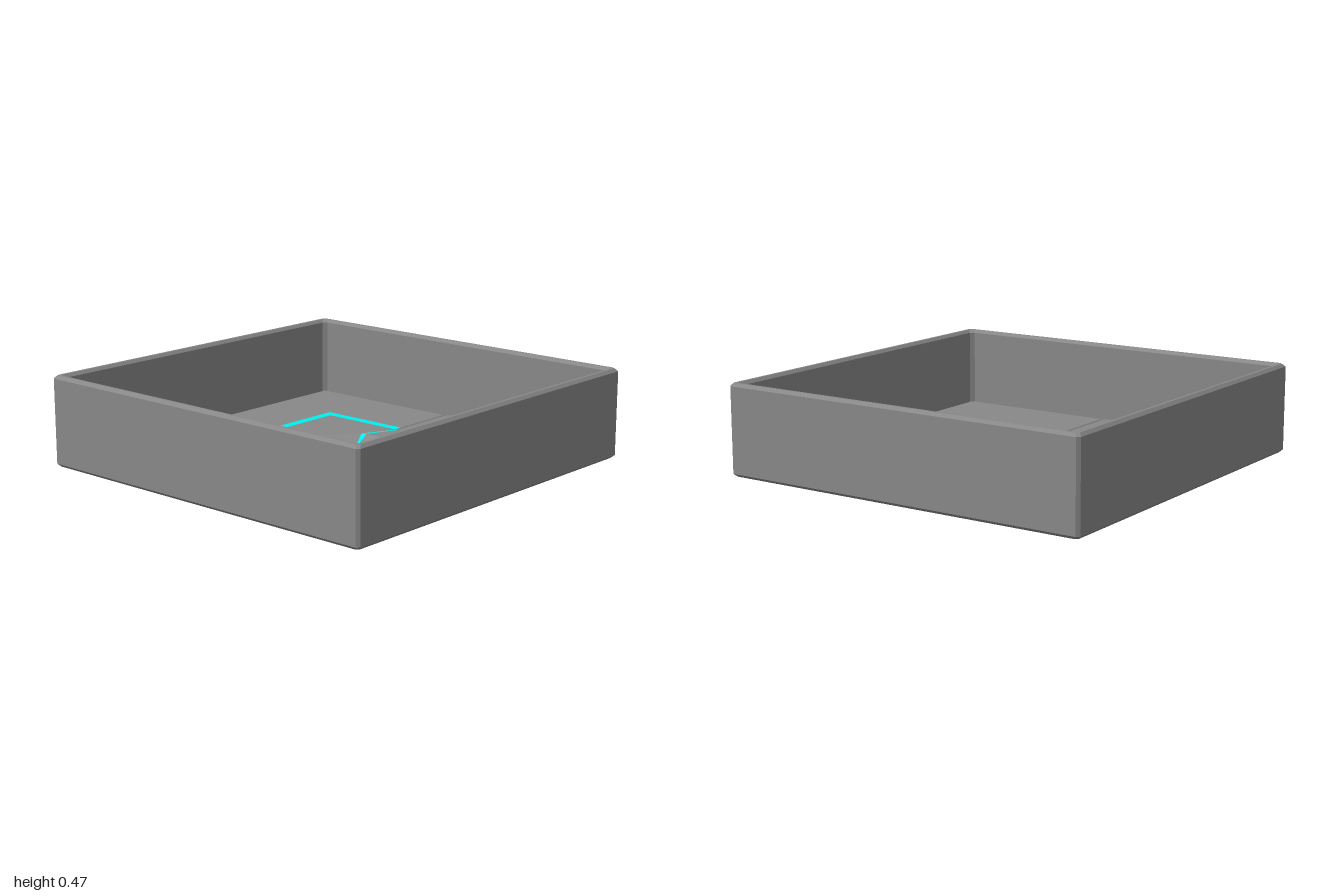
import * as THREE from 'three';

const grey = new THREE.MeshStandardMaterial({ color: 0x888888, flatShading: true, side: THREE.DoubleSide });
const cyan = new THREE.MeshStandardMaterial({ color: 0x00eeee, flatShading: true, side: THREE.DoubleSide });

function add(parent, name, geometry, material) {
  const mesh = new THREE.Mesh(geometry, material);
  mesh.name = name;
  parent.add(mesh);
  return mesh;
}

function triangles(points) {
  const geometry = new THREE.BufferGeometry();
  geometry.setAttribute('position', new THREE.Float32BufferAttribute(points.flat(), 3));
  geometry.computeVertexNormals();
  return geometry;
}

// Eight-sided rings [p, q, y] joined from the underside, outwards, up and back in
function loft(rings) {
  const loops = rings.map(([p, q, y]) =>
    [[p, q], [q, p], [-q, p], [-p, q], [-p, -q], [-q, -p], [q, -p], [p, -q]].map(([x, z]) => [x, y, z]));
  const out = [];
  for (let i = 0; i < loops.length - 1; i++) {
    for (let j = 0; j < 8; j++) {
      const k = (j + 1) % 8;
      const [a, b, c, d] = [loops[i][j], loops[i][k], loops[i + 1][j], loops[i + 1][k]];
      out.push(a, c, b, b, c, d);
    }
  }
  return triangles(out);
}

// Strip between two rails running inwards (left rail first), with a short skirt down each side
function strip(left, right) {
  const lower = (rail) => rail.map(([x, y, z]) => [x, y - 0.012, z]);
  const rails = [lower(left), left, right, lower(right)];
  const out = [];
  for (let r = 0; r < rails.length - 1; r++) {
    for (let i = 0; i < left.length - 1; i++) {
      const [a, b, c, d] = [rails[r][i], rails[r + 1][i], rails[r][i + 1], rails[r + 1][i + 1]];
      out.push(a, b, c, b, d, c);
    }
  }
  return triangles(out);
}

function block(parent, name, material, x0, x1, y0, y1, z0, z1) {
  const mesh = add(parent, name, new THREE.BoxGeometry(x1 - x0, y1 - y0, z1 - z0), material);
  mesh.position.set((x0 + x1) / 2, (y0 + y1) / 2, (z0 + z1) / 2);
}

const outline = (points) => new THREE.Shape(points.map(([x, z]) => new THREE.Vector2(x, z)));

// Bevelled slab from an outline in x and z
function slab(points, y0, y1, bevel) {
  const geometry = new THREE.ExtrudeGeometry(outline(points), {
    depth: y1 - y0 - 2 * bevel, bevelSize: bevel,
    bevelThickness: bevel, bevelOffset: -bevel, bevelSegments: 1,
  });
  return geometry.rotateX(Math.PI / 2).translate(0, y1 - bevel, 0);
}

export function createModel() {
  const model = new THREE.Group();
  model.name = 'floorTray';

  // Bevelled outer wall
  add(model, 'wall', loft([
    [0.95, 0.94, 0], [0.985, 0.97, 0], [1, 0.985, 0.015], [1, 0.985, 0.45], [0.985, 0.97, 0.465],
    [0.97, 0.955, 0.465], [0.955, 0.935, 0.45], [0.955, 0.935, 0.05],
  ]), grey);

  // Thin base at the bottom of the grooves
  block(model, 'base', grey, -0.95, 0.95, 0.004, 0.009, -0.95, 0.95);

  // Centre plate with a sunken octagon
  add(model, 'centrePlate', loft([
    [0, 0, 0.001], [0.53, 0.06, 0.001], [0.53, 0.06, 0.042],
    [0.522, 0.056, 0.05], [0.338, 0.14, 0.05], [0.28, 0.113, 0.01], [0, 0, 0.01],
  ]), grey);
  add(model, 'octagonLight', loft([
    [0.278, 0.113, 0.015], [0.268, 0.11, 0.015], [0.266, 0.109, 0.01],
  ]), cyan);

  for (let i = 0; i < 4; i++) {
    const quarter = new THREE.Group();
    quarter.name = 'floorQuarter';
    quarter.rotation.y = i * Math.PI / 2;
    model.add(quarter);

    // Corner panel
    add(quarter, 'cornerPanel', slab(
      [[0.072, 0.955], [0.955, 0.955], [0.955, 0.072], [0.538, 0.072], [0.072, 0.538]], 0.001, 0.05, 0.007), grey);

    // L-shaped light showing on the top and underside of the panel
    for (const y of [0, 0.0515]) {
      const light = new THREE.ShapeGeometry(outline(
        [[0.072, 0.58], [0.58, 0.58], [0.58, 0.072], [0.53, 0.072], [0.53, 0.53], [0.072, 0.53]]));
      add(quarter, 'cornerLight', light.rotateX(Math.PI / 2).translate(0, y, 0), cyan);
    }

    // Walkway to the wall
    block(quarter, 'walkway', grey, -0.055, 0.055, 0.001, 0.052, 0.53, 0.955);

    // Tapered ramp into the octagon
    add(quarter, 'ramp', strip(
      [[-0.053, 0.0515, 0.53], [-0.11, 0.058, 0.34], [-0.1, 0.016, 0.28]],
      [[0.053, 0.0515, 0.53], [0.11, 0.058, 0.34], [0.1, 0.016, 0.28]]), grey);

    // Lights along both sides of the walkway and ramp
    for (const s of [-1, 1]) {
      block(quarter, 'walkwayLight', cyan, Math.min(s * 0.055, s * 0.066), Math.max(s * 0.055, s * 0.066),
        0.009, 0.044, 0.53, 0.95);
      const inner = [[s * 0.053, 0.052, 0.53], [s * 0.11, 0.055, 0.34], [s * 0.1, 0.015, 0.272]];
      const outer = [[s * 0.064, 0.052, 0.53], [s * 0.142, 0.055, 0.34], [s * 0.114, 0.015, 0.272]];
      add(quarter, 'rampLight', s > 0 ? strip(inner, outer) : strip(outer, inner), cyan);
    }
  }
  return model;
}
